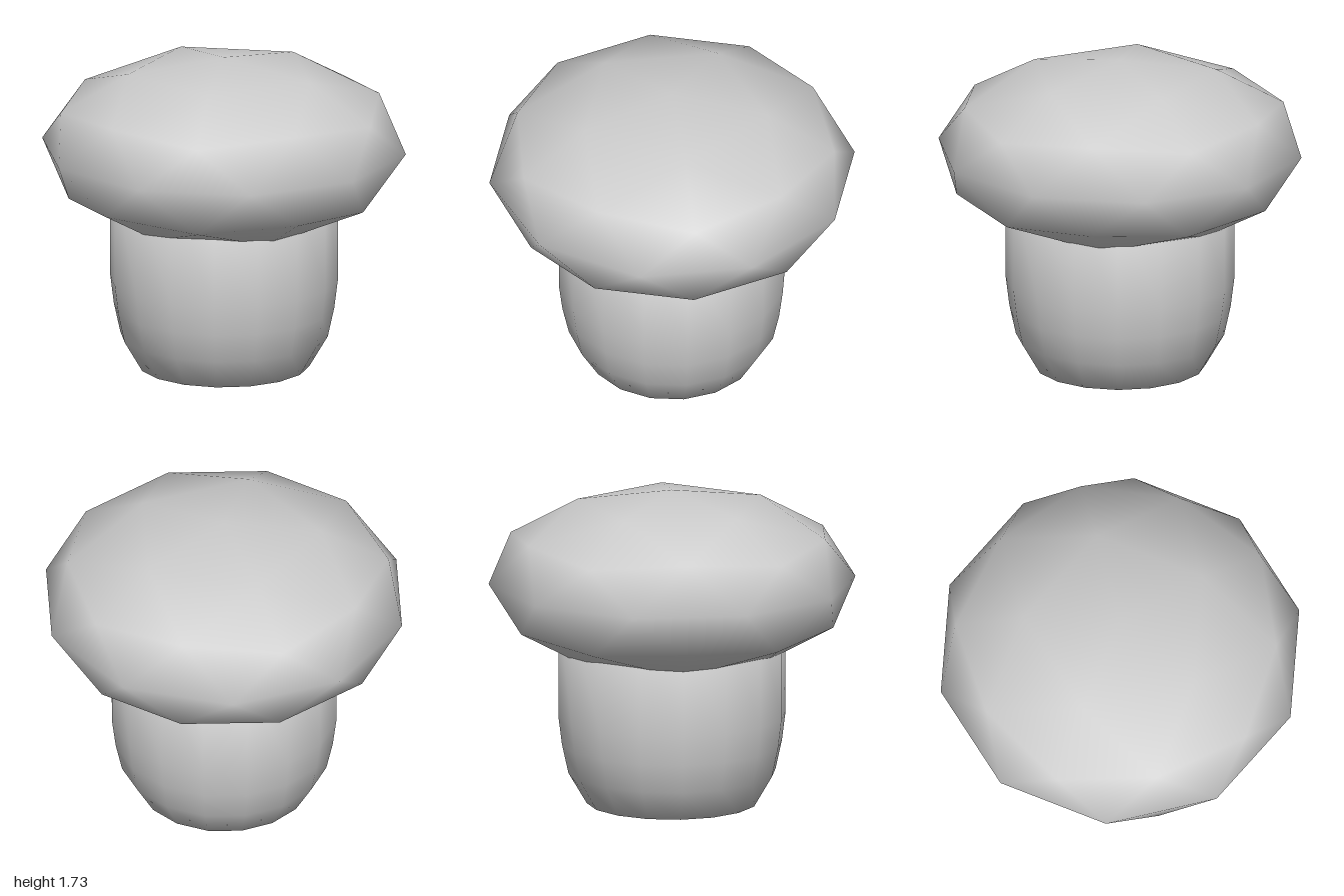
import * as THREE from 'three';

export function createModel() {
  const group = new THREE.Group();
  const material = new THREE.MeshStandardMaterial({ color: 0xcccccc });

  // Cap: once-divided icosahedron standing on a corner, flattened to half height
  const capGeometry = new THREE.IcosahedronGeometry(1, 1);
  capGeometry.rotateZ(-Math.atan2(1, (1 + Math.sqrt(5)) / 2));
  capGeometry.scale(1, 0.5, 1);
  const cap = new THREE.Mesh(capGeometry, material);
  cap.name = 'cap';
  cap.position.y = 1.23;
  group.add(cap);

  // Stem: 16-sided, tapering to a flat base, its top hidden in the cap
  const profile = [
    [0, 0], [0.465, 0], [0.565, 0.17], [0.6, 0.33], [0.62, 0.49], [0.62, 1.1], [0, 1.1],
  ].map(([r, y]) => new THREE.Vector2(r, y));
  const stem = new THREE.Mesh(new THREE.LatheGeometry(profile, 16), material);
  stem.name = 'stem';
  group.add(stem);

  return group;
}
